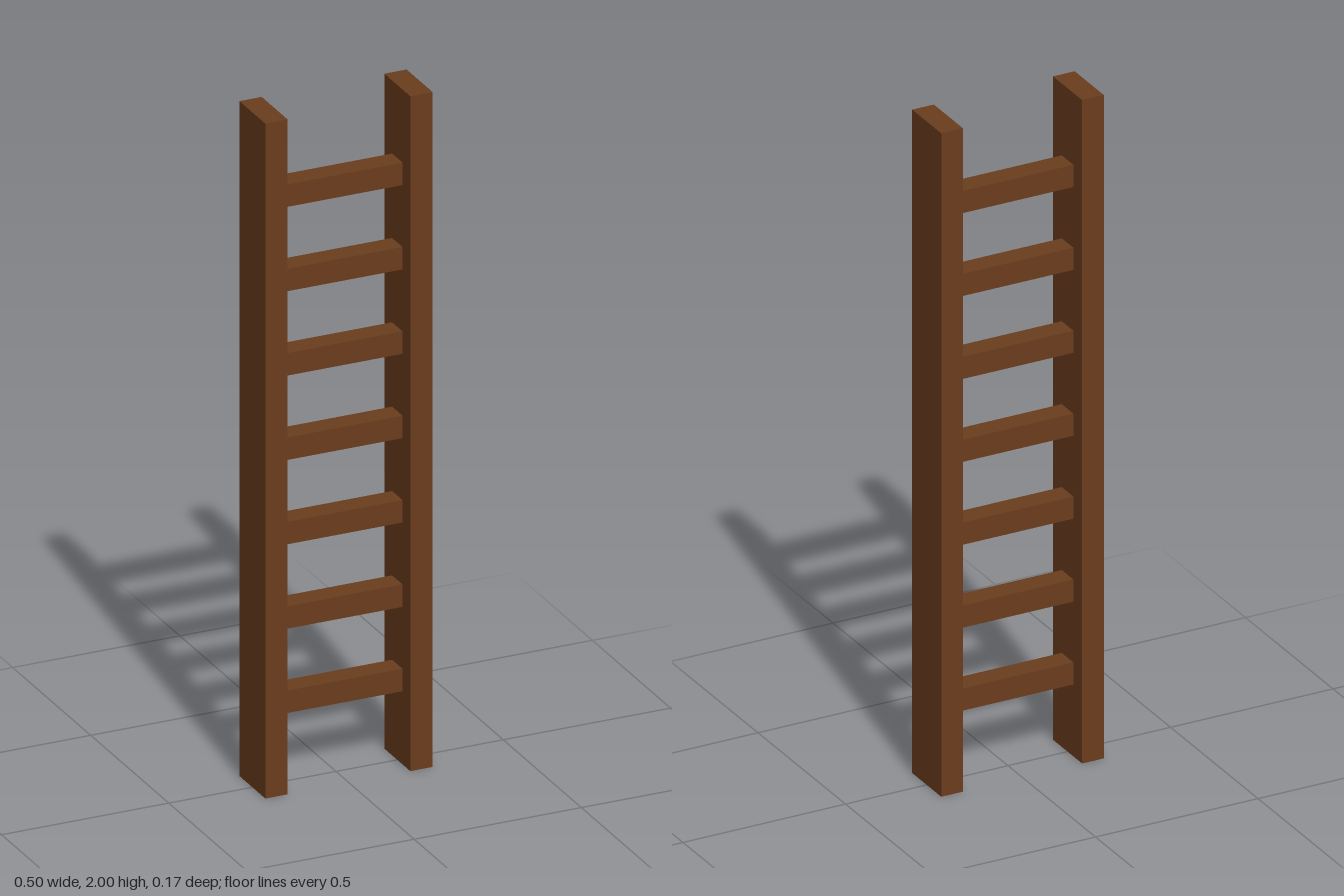
import * as THREE from 'three';

const HEIGHT = 2;
const WIDTH = 0.5;
const DEPTH = 1 / 6;
const BAR = 1 / 15; // thickness of rails and rungs
const RUNGS = 7;

export function createModel() {
  const ladder = new THREE.Group();
  ladder.name = 'ladder';
  const wood = new THREE.MeshStandardMaterial({ color: 0x6b3d1e, flatShading: true });

  const addBox = (name, size, position) => {
    const mesh = new THREE.Mesh(new THREE.BoxGeometry(...size), wood);
    mesh.name = name;
    mesh.position.set(...position);
    ladder.add(mesh);
  };

  // Upright side rails
  for (const [name, side] of [['leftRail', 1], ['rightRail', -1]]) {
    addBox(name, [BAR, HEIGHT, DEPTH], [side * (WIDTH - BAR) / 2, HEIGHT / 2, 0]);
  }

  // Evenly spaced square rungs between the rails
  for (let i = 1; i <= RUNGS; i++) {
    addBox(`rung${i}`, [WIDTH - 2 * BAR, BAR, BAR], [0, (i * HEIGHT) / (RUNGS + 1), 0]);
  }

  return ladder;
}
